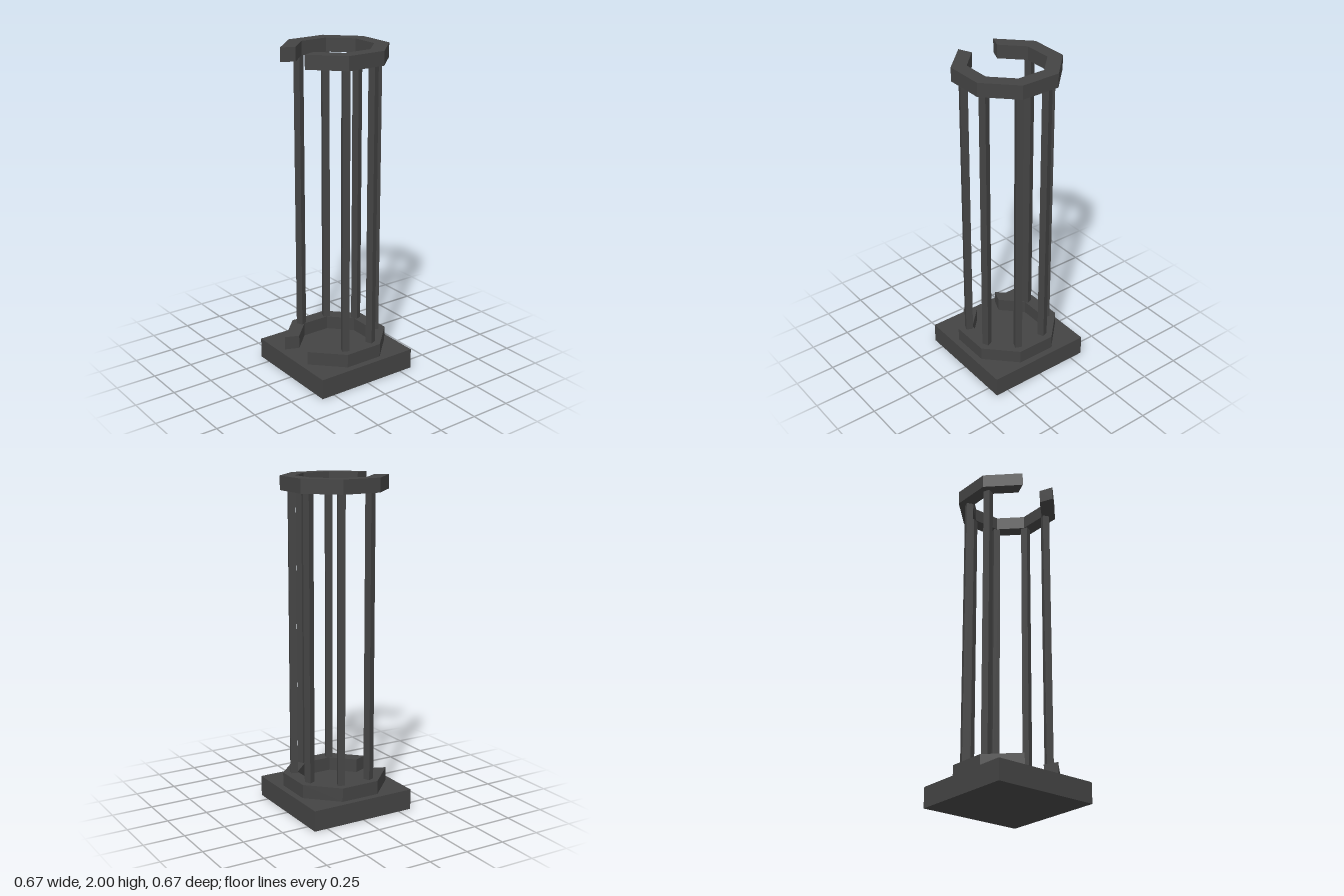
import * as THREE from 'three';

const BASE_H = 0.125, RING_H = 0.083, TOP = 2;
const STEP = Math.PI / 4;

// Octagonal ring with its front side left open
function openRingGeometry(outer, inner, height) {
  const points = [];
  const corner = (r, i) => {
    const a = -1.5 * STEP + i * STEP;
    points.push(new THREE.Vector2(r * Math.cos(a), r * Math.sin(a)));
  };
  for (let i = 0; i <= 7; i++) corner(outer, i);
  for (let i = 7; i >= 0; i--) corner(inner, i);
  const geometry = new THREE.ExtrudeGeometry(new THREE.Shape(points), { depth: height, bevelEnabled: false });
  return geometry.rotateX(-Math.PI / 2);
}

export function createModel() {
  const model = new THREE.Group();
  model.name = 'openColumnFrame';
  const darkGrey = new THREE.MeshStandardMaterial({ color: 0x444444, flatShading: true });
  darkGrey.name = 'darkGrey';

  const add = (name, geometry, x, y, z) => {
    const mesh = new THREE.Mesh(geometry, darkGrey);
    mesh.name = name;
    mesh.position.set(x, y, z);
    model.add(mesh);
    return mesh;
  };

  // Square base
  add('base', new THREE.BoxGeometry(0.667, BASE_H, 0.667), 0, BASE_H / 2, 0);

  // Matching rings at the foot and the top
  const ring = openRingGeometry(0.317, 0.228, RING_H);
  add('lowerRing', ring, 0, BASE_H, 0);
  add('upperRing', ring, 0, TOP - RING_H, 0);

  // Six square posts at the ring corners, turned to face the centre
  const low = BASE_H + RING_H, high = TOP - RING_H, radius = 0.25;
  const post = new THREE.BoxGeometry(0.042, high - low, 0.042);
  for (let i = 0; i < 6; i++) {
    const a = (i - 0.5) * STEP;
    add(`post${i + 1}`, post, radius * Math.cos(a), (low + high) / 2, -radius * Math.sin(a)).rotation.y = a;
  }
  return model;
}
